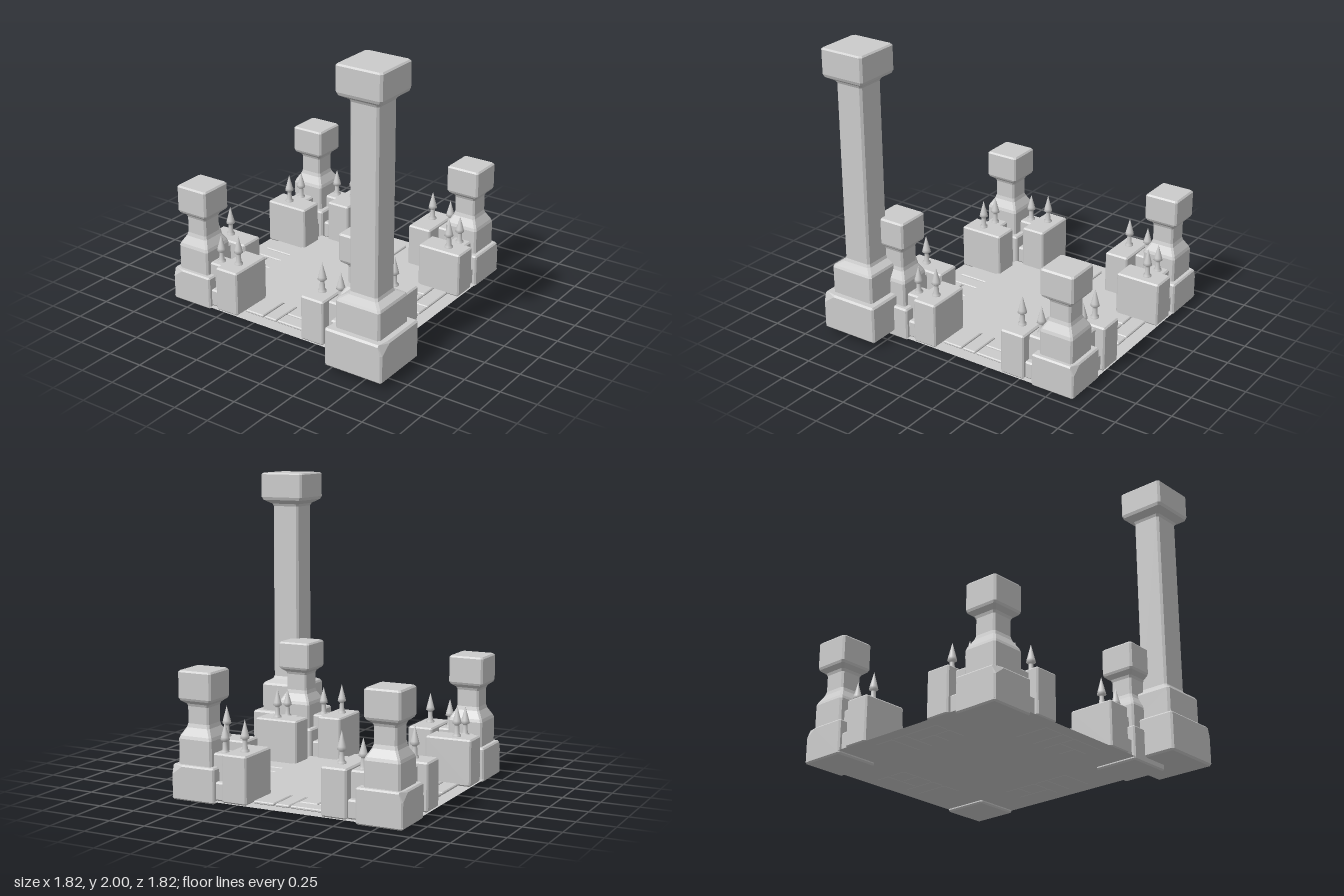
import * as THREE from 'three';
import { ConvexGeometry } from 'three/addons/geometries/ConvexGeometry.js';

const stone = new THREE.MeshStandardMaterial({ color: 0xcccccc, flatShading: true });
const smooth = new THREE.MeshStandardMaterial({ color: 0xcccccc });
const sheet = new THREE.MeshStandardMaterial({ color: 0xcccccc, side: THREE.DoubleSide });

function add(parent, name, geometry, material, x = 0, y = 0, z = 0) {
  const mesh = new THREE.Mesh(geometry, material);
  mesh.name = name;
  mesh.position.set(x, y, z);
  parent.add(mesh);
  return mesh;
}

// Bevelled block between two corners; chip = [x, y, z] cuts the top -x -z corner
function block(parent, name, [x0, y0, z0], [x1, y1, z1], bevel = 0.01, chip = null) {
  const h = [(x1 - x0) / 2, (y1 - y0) / 2, (z1 - z0) / 2];
  const points = [];
  for (const sx of [-1, 1]) for (const sy of [-1, 1]) for (const sz of [-1, 1]) {
    const s = [sx, sy, sz];
    const place = (...inset) =>
      points.push(new THREE.Vector3(...h.map((v, i) => s[i] * (v - inset[i]))));
    const b = bevel;
    if (chip && sx < 0 && sy > 0 && sz < 0) {
      const [cx, cy, cz] = chip;
      place(cx, b, 0); place(cx, 0, b);
      place(b, cy, 0); place(0, cy, b);
      place(b, 0, cz); place(0, b, cz);
    } else {
      place(b, b, 0); place(b, 0, b); place(0, b, b);
    }
  }
  return add(parent, name, new ConvexGeometry(points), stone,
    (x0 + x1) / 2, (y0 + y1) / 2, (z0 + z1) / 2);
}

// Square column with chamfered edges from a profile of [half width, height]
function columnGeometry(profile, chamfer) {
  const pos = [], index = [];
  for (const [h, y] of profile) {
    const k = h - chamfer;
    for (const [x, z] of [[h, -k], [h, k], [k, h], [-k, h], [-h, k], [-h, -k], [-k, -h], [k, -h]])
      pos.push(x, y, z);
  }
  for (let r = 0; r < profile.length - 1; r++) for (let i = 0; i < 8; i++) {
    const a = r * 8 + i, b = r * 8 + (i + 1) % 8;
    index.push(a, a + 8, b, b, a + 8, b + 8);
  }
  const top = (profile.length - 1) * 8;
  for (let i = 1; i < 7; i++) {
    index.push(top, top + i + 1, top + i);
    index.push(0, i, i + 1);
  }
  const indexed = new THREE.BufferGeometry();
  indexed.setAttribute('position', new THREE.Float32BufferAttribute(pos, 3));
  indexed.setIndex(index);
  const flat = indexed.toNonIndexed();
  flat.computeVertexNormals();
  return flat;
}

const pillarGeometry = columnGeometry([
  [0.12, 0.215], [0.12, 0.39], [0.113, 0.41], [0.084, 0.46], [0.077, 0.485],
  [0.077, 0.595], [0.084, 0.612], [0.113, 0.635], [0.12, 0.65], [0.12, 0.815], [0.11, 0.826],
], 0.012);

const tallGeometry = columnGeometry([
  [0.162, 0.29], [0.162, 0.485], [0.154, 0.5], [0.108, 0.525], [0.1, 0.545],
  [0.1, 1.765], [0.108, 1.782], [0.154, 1.81], [0.162, 1.83], [0.162, 1.99], [0.152, 2],
], 0.014);

const spikeGeometry = new THREE.LatheGeometry([
  [0.028, -0.01], [0.028, 0.01], [0.018, 0.018], [0.015, 0.07], [0.016, 0.078],
  [0.03, 0.086], [0.026, 0.105], [0.013, 0.155], [0, 0.205],
].map(([x, y]) => new THREE.Vector2(x, y)), 14);

// Paving stones along one side: x0, x1, z0, z1
const paving = [
  [-0.26, -0.005, -0.715, -0.613], [-0.26, -0.143, -0.603, -0.47], [-0.136, -0.005, -0.603, -0.47],
  [0.002, 0.1, -0.715, -0.47], [0.11, 0.255, -0.715, -0.47],
];

// One corner and the side of the enclosure behind it
function createSide() {
  const side = new THREE.Group();
  side.name = 'enclosureSide';

  block(side, 'cornerBase', [-0.8, 0, -0.8], [-0.49, 0.228, -0.49], 0.01, [0.025, 0.06, 0.075]);
  add(side, 'cornerPillar', pillarGeometry, stone, -0.648, 0, -0.648);

  for (const s of [-1, 1]) {
    const span = (name, a, b, y0, y1, z0, z1) =>
      block(side, name, [Math.min(s * a, s * b), y0, z0], [Math.max(s * a, s * b), y1, z1]);
    span('wallBlock', 0.258, 0.432, 0.02, 0.33, -0.8, -0.48);
    span('wallLink', 0.42, 0.56, 0.02, 0.312, -0.732, -0.6);
    span('wallFooting', 0.42, 0.52, 0.02, 0.14, -0.775, -0.52);
    add(side, 'tallSpike', spikeGeometry, smooth, s * 0.338, 0.33, -0.67);
    add(side, 'shortSpike', spikeGeometry, smooth, s * 0.482, 0.31, -0.67).scale.y = 0.95;
  }

  for (const [x0, x1, z0, z1] of paving)
    block(side, 'pavingStone', [x0, 0.016, z0], [x1, 0.036, z1], 0.006);
  return side;
}

export function createModel() {
  const model = new THREE.Group();
  model.name = 'stoneEnclosure';

  const yard = new THREE.Group();
  yard.name = 'yard';
  yard.position.set(-0.11, 0, -0.11);
  model.add(yard);

  // Ground sheet and raised inner floor
  add(yard, 'ground', new THREE.PlaneGeometry(1.6, 1.6).rotateX(-Math.PI / 2), sheet, 0, 0.018, 0);
  add(yard, 'innerFloor', new THREE.PlaneGeometry(1, 1).rotateX(-Math.PI / 2), sheet, 0, 0.038, 0);

  for (let i = 0; i < 4; i++) {
    const side = createSide();
    side.rotation.y = i * Math.PI / 2;
    yard.add(side);
  }

  // Tall column outside the front corner
  const column = new THREE.Group();
  column.name = 'tallColumn';
  column.position.set(0.695, 0, 0.695);
  column.rotation.y = Math.PI;
  block(column, 'columnBase', [-0.21, 0.04, -0.21], [0.21, 0.302, 0.21], 0.012, [0.028, 0.07, 0.09]);
  add(column, 'columnShaft', tallGeometry, stone);
  model.add(column);

  return model;
}
